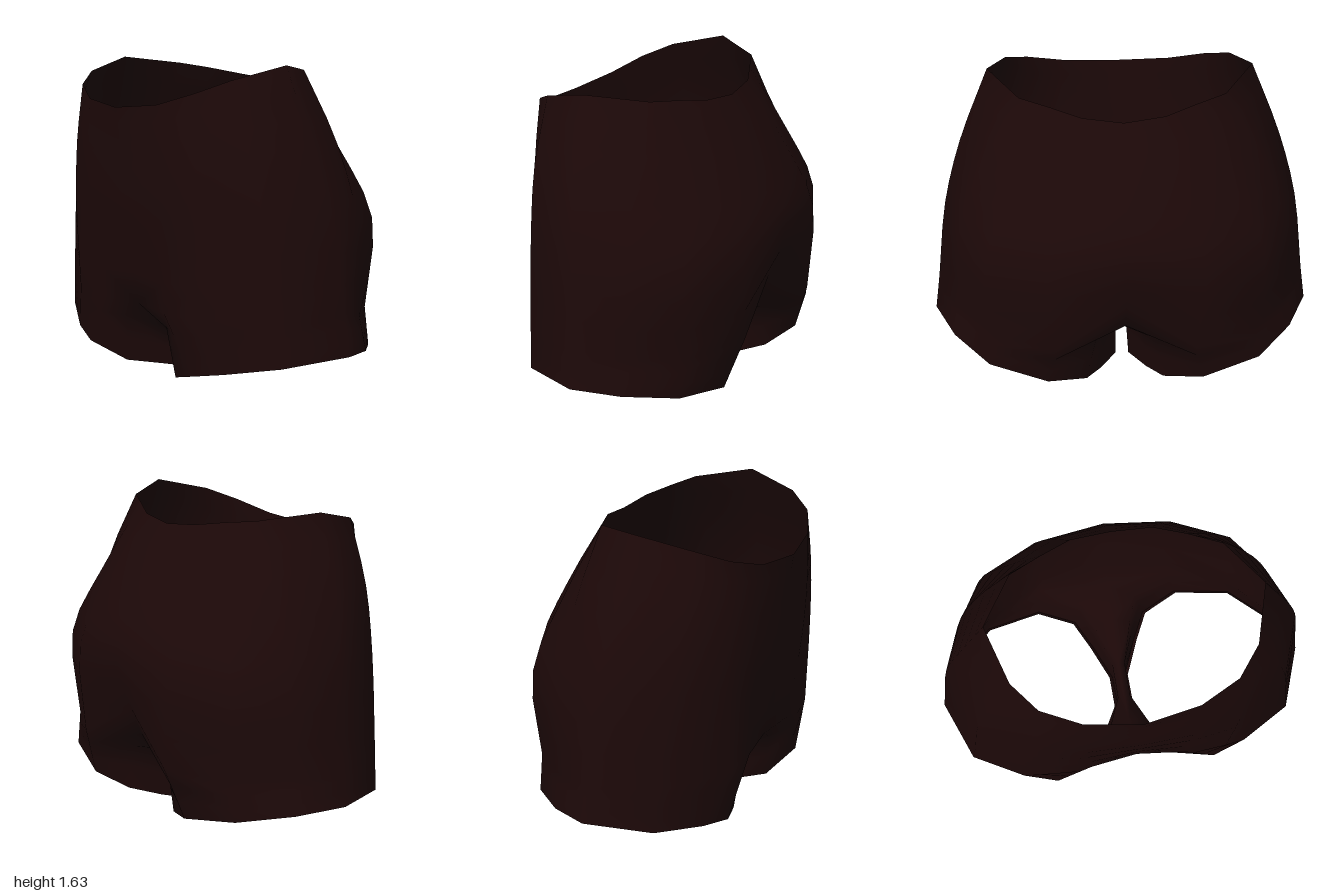
import * as THREE from 'three';
import { mergeVertices } from 'three/addons/utils/BufferGeometryUtils.js';

const V = (p) => new THREE.Vector3(...p);

// Half cross-sections, front centre round the side to back centre
const waist = [[0, 1.425, .63], [.28, 1.45, .59], [.47, 1.51, .51], [.58, 1.57, .38], [.66, 1.635, .11],
  [.5, 1.6, -.15], [.35, 1.58, -.22], [.2, 1.555, -.29], [0, 1.535, -.31]];
const belly = [[0, 1.2, .605], [.3, 1.2, .59], [.5, 1.22, .53], [.705, 1.25, .38], [.817, 1.25, .08],
  [.7, 1.25, -.19], [.53, 1.22, -.355], [.3, 1.2, -.475], [0, 1.18, -.52]];
const hip = [[0, .9, .585], [.3, .9, .575], [.52, .9, .53], [.79, .92, .355], [.91, .92, .03],
  [.83, .87, -.21], [.69, .86, -.45], [.385, .88, -.592], [0, .9, -.627]];
const thigh = [[0, .43, .5], [.25, .43, .53], [.48, .44, .535], [.85, .46, .335], [.97, .48, .01],
  [.855, .42, -.205], [.67, .4, -.43], [.35, .42, -.595], [0, .47, -.48]];
const hem = [[.21, .08, .43], [.44, .15, .505], [.62, .19, .455], [.88, .25, .32], [1, .28, 0],
  [.89, .25, -.22], [.7, .21, -.43], [.4, .15, -.51], [.2, .1, -.43]];

// Underside edges where each leg turns down, at front centre and back centre
const frontFold = [.17, .33, .455], backFold = [.15, .35, -.43];
// Crotch, back to front: seam, edge of the underside, inner leg hem
const crotch = [
  [[0, .35, -.32], [.1, .31, -.3], [.12, .05, -.28]],
  [[0, .245, -.09], [.035, .235, -.09], [.035, 0, -.09]],
  [[0, .22, .1], [.035, .21, .1], [.035, .02, .1]],
  [[0, .275, .27], [.1, .25, .26], [.12, .05, .26]],
];

const ROWS = 9;

// Seat columns from waist to thigh
const seat = waist.map((w, c) =>
  new THREE.CatmullRomCurve3([w, belly[c], hip[c], thigh[c]].map(V)).getPoints(ROWS));

// Leg columns: plain on the outside, turned over a fold on the inside
const plainColumn = (c) => [0, 1 / 3, 2 / 3, 1].map((t) => V(thigh[c]).lerp(V(hem[c]), t));
const foldColumn = (start, fold, end) => [V(start), V(fold), V(fold).lerp(V(end), .5), V(end)];
const leg = [
  foldColumn(thigh[0], frontFold, hem[0]),
  ...[1, 2, 3, 4, 5, 6, 7].map(plainColumn),
  foldColumn(thigh[8], backFold, hem[8]),
  ...crotch.map((points) => foldColumn(...points)),
];

// Quads between neighbouring columns, mirrored when side is -1
function addPanels(out, columns, side, closed) {
  const n = columns.length;
  const put = (...pts) => {
    if (side < 0) pts.reverse();
    for (const p of pts) out.push(p.x * side, p.y, p.z);
  };
  for (let c = 0; c < (closed ? n : n - 1); c++) {
    const a = columns[c], b = columns[(c + 1) % n];
    for (let r = 0; r < a.length - 1; r++) {
      put(a[r], a[r + 1], b[r]);
      put(b[r], a[r + 1], b[r + 1]);
    }
  }
}

function makeMesh(name, positions, material) {
  let g = new THREE.BufferGeometry();
  g.setAttribute('position', new THREE.Float32BufferAttribute(positions, 3));
  g = mergeVertices(g, 1e-4);
  g.computeVertexNormals();
  const mesh = new THREE.Mesh(g, material);
  mesh.name = name;
  return mesh;
}

export function createModel() {
  const group = new THREE.Group();
  group.name = 'shorts';
  const cloth = new THREE.MeshStandardMaterial({ color: 0x1c0808, side: THREE.DoubleSide });
  cloth.name = 'dark maroon cloth';

  // Seat and both legs as one smooth shell
  const shell = [];
  for (const side of [1, -1]) {
    addPanels(shell, seat, side, false);
    addPanels(shell, leg, side, true);
  }
  group.add(makeMesh('shortsShell', shell, cloth));

  // Narrow hems turned inward at the leg openings
  const rim = leg.map((col) => {
    const p = col[col.length - 1];
    return [p, new THREE.Vector3(.5 + (p.x - .5) * .96, p.y + .02, p.z * .96)];
  });
  for (const [name, side] of [['leftHem', 1], ['rightHem', -1]]) {
    const positions = [];
    addPanels(positions, rim, side, true);
    group.add(makeMesh(name, positions, cloth));
  }
  return group;
}
